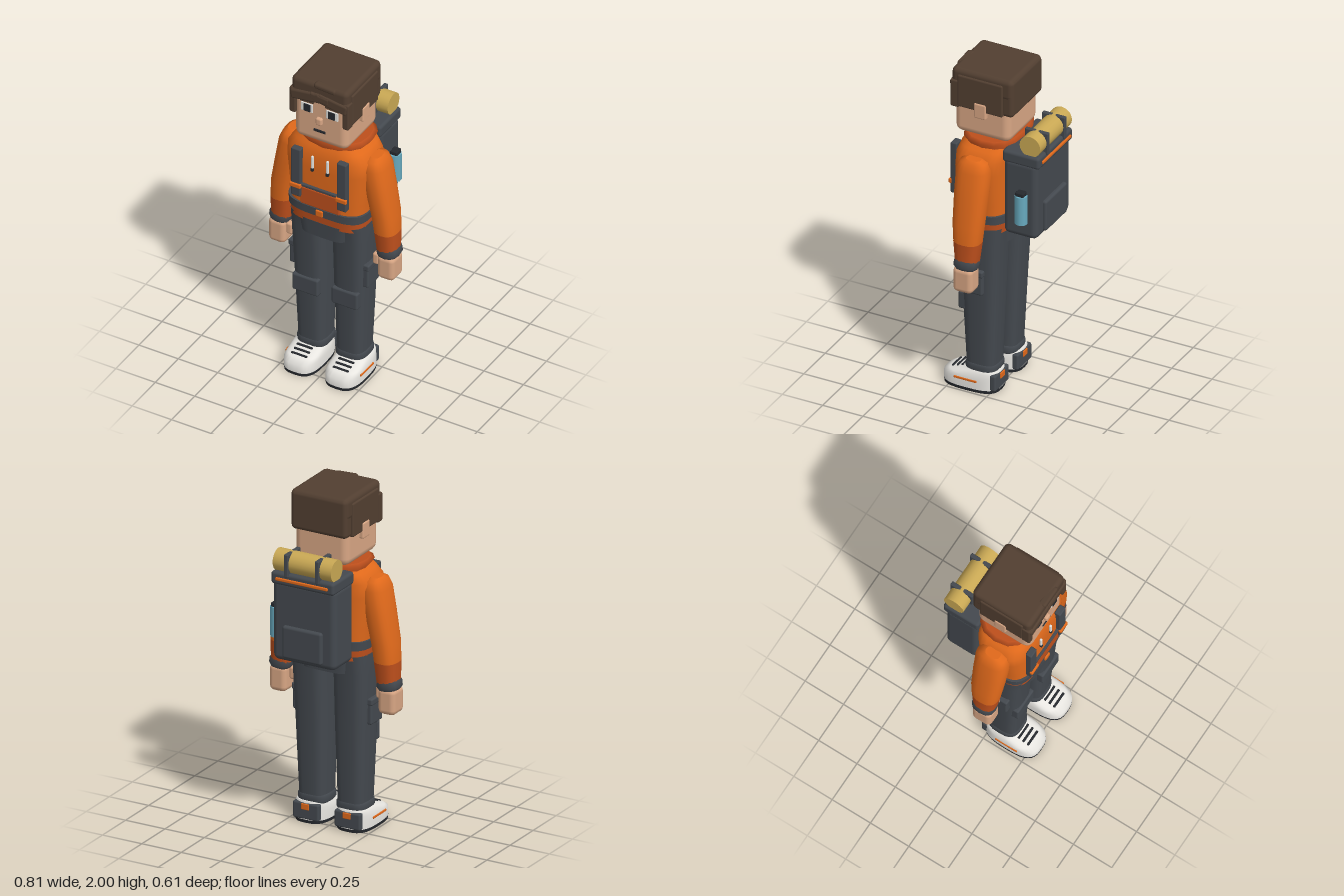
import * as THREE from 'three';
import { RoundedBoxGeometry } from 'three/addons/geometries/RoundedBoxGeometry.js';

const paint = (name, color) => Object.assign(new THREE.MeshStandardMaterial({ color }), { name });

// Stacked superellipse rings: [y, centreX, centreZ, halfX, halfZ]; p = squareness
function loft(rings, p = 3, n = 24) {
  const pos = [], idx = [];
  const pow = v => Math.sign(v) * Math.abs(v) ** (2 / p);
  const addRing = ([y, cx, cz, hx, hz]) => {
    for (let i = 0; i < n; i++) {
      const a = (i / n) * Math.PI * 2;
      pos.push(cx + hx * pow(Math.cos(a)), y, cz + hz * pow(Math.sin(a)));
    }
  };
  rings.forEach(addRing);
  for (let r = 0; r < rings.length - 1; r++) {
    for (let i = 0; i < n; i++) {
      const a = r * n + i, b = r * n + (i + 1) % n;
      idx.push(a, a + n, b, b, a + n, b + n);
    }
  }
  // Caps use their own vertices so the rims stay sharp
  [rings[0], rings[rings.length - 1]].forEach((ring, k) => {
    const s = pos.length / 3;
    addRing(ring);
    pos.push(ring[1], ring[0], ring[2]);
    for (let i = 0; i < n; i++) {
      const a = s + i, b = s + (i + 1) % n;
      idx.push(s + n, ...(k ? [b, a] : [a, b]));
    }
  });
  const g = new THREE.BufferGeometry();
  g.setAttribute('position', new THREE.Float32BufferAttribute(pos, 3));
  g.setIndex(idx);
  g.computeVertexNormals();
  return g;
}

export function createModel() {
  const model = new THREE.Group();
  const orange = paint('jacket orange', 0xe0691b), rust = paint('rust orange', 0xbd4f1c);
  const grey = paint('slate grey', 0x44494f), black = paint('charcoal', 0x26292e);
  const hair = paint('brown hair', 0x523f31), skin = paint('skin', 0xd8a684);
  const white = paint('off white', 0xe8e6e1), khaki = paint('khaki', 0xc9a854);
  const blue = paint('bottle blue', 0x68aabf);

  const add = (name, mat, geo) => {
    const m = new THREE.Mesh(geo, mat);
    m.name = name;
    model.add(m);
    return m;
  };
  // Rounded box by size and centre
  const box = (name, mat, [w, h, d], [x, y, z], r = 0.01, tilt = 0) => {
    const m = add(name, mat, new RoundedBoxGeometry(w, h, d, 2, Math.min(r, w / 2.1, h / 2.1, d / 2.1)));
    m.position.set(x, y, z);
    m.rotation.z = tilt;
    return m;
  };
  const both = f => [-1, 1].forEach(f);

  // Head and face
  box('head', skin, [0.34, 0.38, 0.345], [0, 1.775, 0.075], 0.045);
  box('nose', skin, [0.04, 0.05, 0.03], [0, 1.745, 0.252], 0.012);
  box('mouth', black, [0.075, 0.016, 0.008], [0, 1.675, 0.249], 0.003);
  both(s => {
    box('ear', skin, [0.035, 0.095, 0.075], [s * 0.178, 1.765, 0.072]);
    box('eyeWhite', white, [0.075, 0.056, 0.008], [s * 0.08, 1.81, 0.249], 0.003);
    box('pupil', black, [0.042, 0.048, 0.008], [s * 0.077, 1.81, 0.254], 0.003);
    box('eyebrow', hair, [0.085, 0.02, 0.012], [s * 0.08, 1.857, 0.251], 0.004, -s * 0.06);
  });

  // Hair
  box('hairTop', hair, [0.362, 0.13, 0.38], [0, 1.93, 0.068], 0.03);
  box('hairBack', hair, [0.355, 0.23, 0.08], [0, 1.875, -0.083], 0.025);
  box('hairNape', hair, [0.28, 0.11, 0.09], [0, 1.73, -0.045], 0.02);
  box('hairTuft', hair, [0.14, 0.035, 0.05], [0.035, 1.977, 0.238], 0.015, -0.05);
  box('fringeRight', hair, [0.19, 0.065, 0.045], [-0.085, 1.893, 0.247], 0.014, 0.14);
  box('fringeLeft', hair, [0.19, 0.065, 0.045], [0.085, 1.893, 0.245], 0.014, -0.14);
  box('fringeMiddle', hair, [0.13, 0.05, 0.04], [0.005, 1.905, 0.25], 0.014, -0.1);
  both(s => {
    box('hairSide', hair, [0.03, 0.2, 0.28], [s * 0.175, 1.86, 0.075]);
    box('sideLock', hair, [0.04, 0.17, 0.055], [s * 0.168, 1.835, 0.233]);
  });

  // Neck, jacket and hood collar
  add('neck', skin, loft([[1.5, 0, 0.06, 0.11, 0.11], [1.62, 0, 0.06, 0.11, 0.11]], 2));
  add('jacketBody', orange, loft([
    [1.08, 0, 0.08, 0.235, 0.16], [1.2, 0, 0.08, 0.24, 0.163], [1.4, 0, 0.08, 0.262, 0.163],
    [1.48, 0, 0.075, 0.26, 0.162], [1.53, 0, 0.065, 0.22, 0.155], [1.56, 0, 0.06, 0.18, 0.14]], 3.4, 32));
  add('jacketHem', rust, loft([[1.025, 0, 0.08, 0.235, 0.158], [1.1, 0, 0.08, 0.238, 0.163]], 3.6, 32));
  add('hoodCollar', rust, loft([
    [1.515, 0, 0.055, 0.215, 0.158], [1.545, 0, 0.055, 0.2, 0.16],
    [1.58, 0, 0.055, 0.225, 0.168], [1.592, 0, 0.055, 0.2, 0.15]], 2.5, 16));
  add('waistBelt', grey, loft([[1.09, 0, 0.08, 0.246, 0.17], [1.14, 0, 0.08, 0.248, 0.171]], 3.6, 32));
  box('beltBuckle', orange, [0.045, 0.04, 0.02], [0, 1.115, 0.25], 0.006);
  box('frontPocket', rust, [0.25, 0.115, 0.02], [0, 1.2, 0.242], 0.008);
  box('chestStrap', grey, [0.29, 0.018, 0.02], [0, 1.27, 0.247], 0.005);
  both(s => {
    box('shoulderStrap', grey, [0.06, 0.32, 0.04], [s * 0.145, 1.35, 0.245], 0.008);
    box('strapBuckle', orange, [0.07, 0.028, 0.02], [s * 0.145, 1.265, 0.265], 0.006);
    box('drawstring', white, [0.014, 0.09, 0.014], [s * 0.048, 1.44, 0.246], 0.005);
    box('drawstringTip', black, [0.018, 0.022, 0.018], [s * 0.048, 1.395, 0.247], 0.005);
  });

  // Arms and hands
  both(s => {
    add('sleeve', orange, loft([
      [1.505, s * 0.262, 0.072, 0.03, 0.045], [1.49, s * 0.258, 0.072, 0.055, 0.08],
      [1.44, s * 0.258, 0.072, 0.078, 0.1], [1.3, s * 0.285, 0.072, 0.076, 0.098],
      [1.13, s * 0.318, 0.072, 0.072, 0.09], [1.02, s * 0.328, 0.072, 0.068, 0.08]].reverse(), 2.5));
    add('lowerSleeve', rust, loft([
      [0.89, s * 0.335, 0.072, 0.062, 0.066], [1.02, s * 0.328, 0.072, 0.0685, 0.0805]], 2.5));
    const cuff = add('cuff', grey, loft([
      [-0.03, 0, 0, 0.056, 0.062], [-0.015, 0, 0, 0.066, 0.07],
      [0.015, 0, 0, 0.066, 0.07], [0.03, 0, 0, 0.058, 0.064]], 2.6, 12));
    cuff.position.set(s * 0.34, 0.885, 0.072);
    cuff.rotation.z = s * 0.1;
    box('hand', skin, [0.108, 0.155, 0.122], [s * 0.345, 0.79, 0.077], 0.03);
    box('thumb', skin, [0.04, 0.075, 0.055], [s * 0.275, 0.82, 0.09], 0.014);
  });

  // Trousers
  add('hips', grey, loft([[0.94, 0, 0.08, 0.148, 0.155], [1.04, 0, 0.08, 0.17, 0.16]], 5, 32));
  both(s => {
    add('leg', grey, loft([
      [0.13, s * 0.122, 0.077, 0.086, 0.09], [0.6, s * 0.125, 0.077, 0.1, 0.112],
      [0.94, s * 0.13, 0.077, 0.108, 0.13], [1.05, s * 0.125, 0.08, 0.111, 0.145]], 3.2));
    add('ankleCuff', grey, loft([
      [0.115, s * 0.122, 0.077, 0.088, 0.09], [0.125, s * 0.122, 0.077, 0.094, 0.097],
      [0.155, s * 0.122, 0.077, 0.094, 0.097], [0.165, s * 0.122, 0.077, 0.088, 0.09]], 3));
    box('kneePad', grey, [0.165, 0.11, 0.05], [s * 0.125, 0.545, 0.175], 0.012);
    box('cargoPocket', grey, [0.05, 0.14, 0.125], [s * 0.226, 0.7, 0.09], 0.012);
    box('pocketFlap', grey, [0.056, 0.04, 0.132], [s * 0.228, 0.765, 0.09], 0.01);
  });

  // Shoes
  both(s => {
    const x = s * 0.132;
    add('sole', black, loft([[0, x, 0.135, 0.104, 0.168], [0.018, x, 0.135, 0.106, 0.17]], 3, 32));
    add('shoe', white, loft([
      [0.018, x, 0.135, 0.105, 0.169], [0.07, x, 0.135, 0.105, 0.169], [0.092, x, 0.118, 0.1, 0.15],
      [0.115, x, 0.08, 0.094, 0.112], [0.127, x, 0.075, 0.085, 0.1]], 3, 32));
    box('heel', grey, [0.165, 0.1, 0.04], [x, 0.068, -0.016], 0.012);
    box('heelTab', orange, [0.05, 0.035, 0.012], [x, 0.095, -0.035], 0.004);
    box('shoeStripe', orange, [0.008, 0.013, 0.14], [x + s * 0.104, 0.068, 0.14], 0.003);
    for (let i = 0; i < 3; i++) {
      box('lace', black, [0.1, 0.01, 0.014], [x, 0.118 - i * 0.01, 0.185 + i * 0.03], 0.004);
    }
  });

  // Backpack
  box('packBody', grey, [0.4, 0.48, 0.21], [0, 1.28, -0.178], 0.035);
  box('packLid', grey, [0.4, 0.075, 0.23], [0, 1.53, -0.183], 0.018);
  box('packPocket', grey, [0.25, 0.19, 0.04], [0, 1.165, -0.285], 0.015);
  box('packTrim', orange, [0.33, 0.018, 0.016], [0, 1.53, -0.3], 0.005);

  // Bedroll and its straps
  const roll = add('bedroll', khaki, new THREE.CylinderGeometry(0.064, 0.064, 0.37, 20));
  roll.rotation.z = Math.PI / 2;
  roll.position.set(0, 1.622, -0.235);
  both(s => box('bedrollStrap', grey, [0.026, 0.135, 0.144], [s * 0.098, 1.617, -0.235], 0.006));

  // Water bottle on the left side
  const bottle = add('bottle', blue, new THREE.CylinderGeometry(0.037, 0.037, 0.175, 10));
  bottle.position.set(0.217, 1.235, -0.198);
  box('bottleCap', black, [0.045, 0.026, 0.052], [0.22, 1.333, -0.198], 0.006);

  return model;
}
